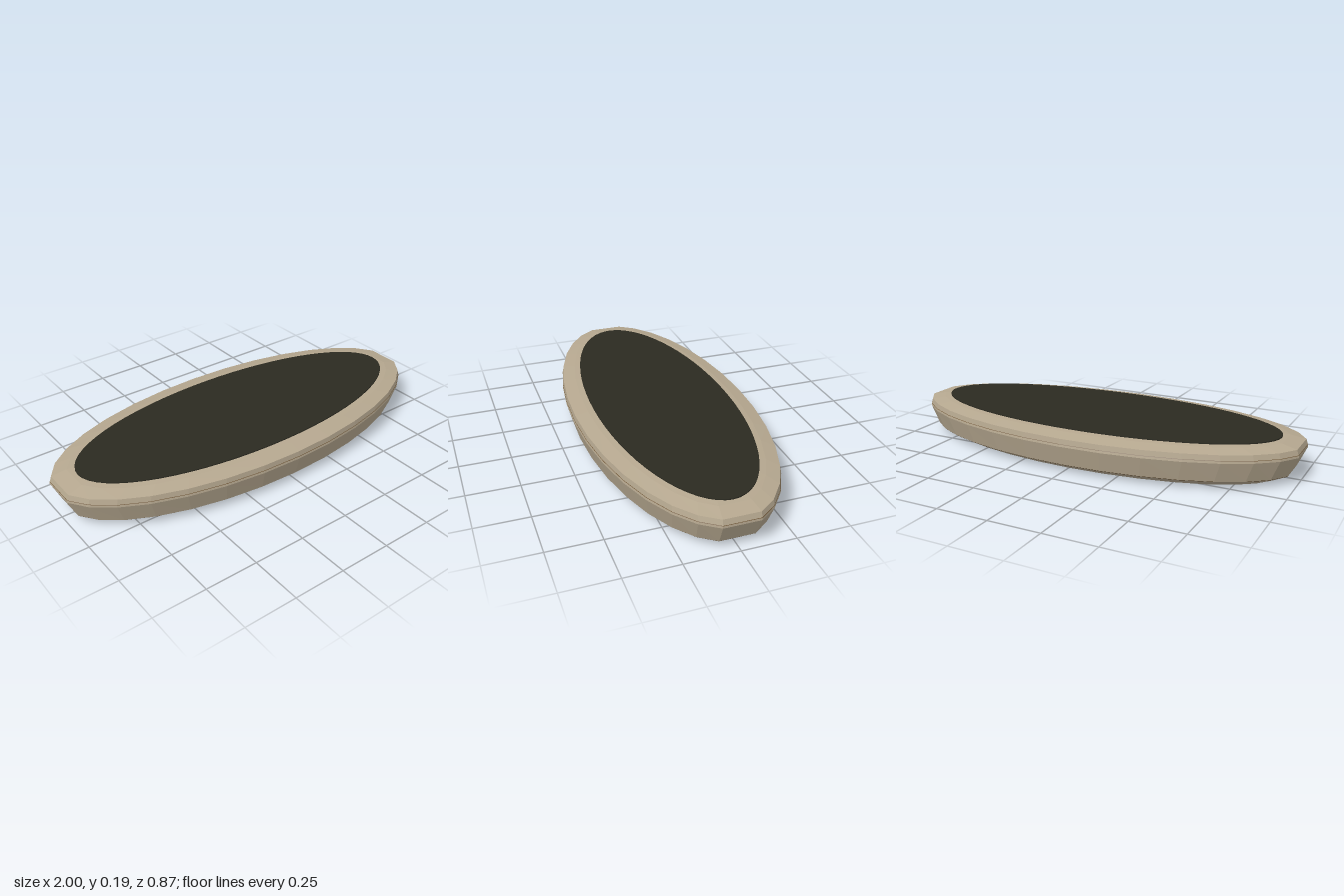
import * as THREE from 'three';

const SIDES = 32;

// Oval outline point; the tips are cut flat when blunt is set
function ovalPoint(a, rx, rz, blunt) {
  const lim = Math.cos((2 * Math.PI) / SIDES);
  const c = Math.cos(a);
  const x = blunt ? Math.max(-lim, Math.min(lim, c)) / lim : c;
  return [x * rx, Math.sin(a) * rz];
}

// Skin stacked oval rings [rx, rz, y], bottom to top, with optional caps
function loft(rings, sides, blunt, capBottom, capTop) {
  const pos = [];
  const at = (r, i) => {
    const [x, z] = ovalPoint(((i % sides) / sides) * Math.PI * 2, r[0], r[1], blunt);
    return [x, r[2], z];
  };
  const first = rings[0], last = rings[rings.length - 1];
  for (let i = 0; i < sides; i++) {
    for (let k = 0; k + 1 < rings.length; k++) {
      const a = at(rings[k], i), b = at(rings[k], i + 1);
      const c = at(rings[k + 1], i + 1), d = at(rings[k + 1], i);
      pos.push(...a, ...d, ...c, ...a, ...c, ...b);
    }
    if (capBottom) pos.push(0, first[2], 0, ...at(first, i), ...at(first, i + 1));
    if (capTop) pos.push(0, last[2], 0, ...at(last, i + 1), ...at(last, i));
  }
  const g = new THREE.BufferGeometry();
  g.setAttribute('position', new THREE.Float32BufferAttribute(pos, 3));
  g.computeVertexNormals(); // unshared corners give flat facets
  return g;
}

export function createModel() {
  const group = new THREE.Group();
  const material = (name, color) => {
    const m = new THREE.MeshStandardMaterial({ color });
    m.name = name;
    return m;
  };
  const stone = material('beige', 0xb5a78f);
  const seam = material('brown seam', 0x6e5433);
  const dark = material('dark top', 0x2b2a21);

  const add = (name, geometry, mat) => {
    const mesh = new THREE.Mesh(geometry, mat);
    mesh.name = name;
    group.add(mesh);
  };

  // Tapered foot
  add('foot', loft([[0.885, 0.345, 0], [0.955, 0.406, 0.035]], SIDES, true, true, false), stone);
  // Thin seam above the foot
  add('lowerSeam', loft([[0.955, 0.406, 0.035], [0.958, 0.41, 0.038]], SIDES, true, false, false), seam);
  // Flaring side wall
  add('wall', loft([[0.958, 0.41, 0.038], [1, 0.435, 0.132], [0.999, 0.433, 0.142]], SIDES, true, false, false), stone);
  // Thin seam under the rim
  add('upperSeam', loft([[0.999, 0.433, 0.142], [0.998, 0.432, 0.144]], SIDES, true, false, false), seam);
  // Rim with a bevelled, nearly flat top
  add('rim', loft([[0.998, 0.432, 0.144], [0.99, 0.428, 0.168], [0.92, 0.365, 0.182], [0.89, 0.335, 0.185]], SIDES, true, false, true), stone);
  // Dark oval inlay
  add('topInlay', loft([[0.9, 0.335, 0.183], [0.9, 0.335, 0.19]], 64, false, true, true), dark);

  return group;
}
